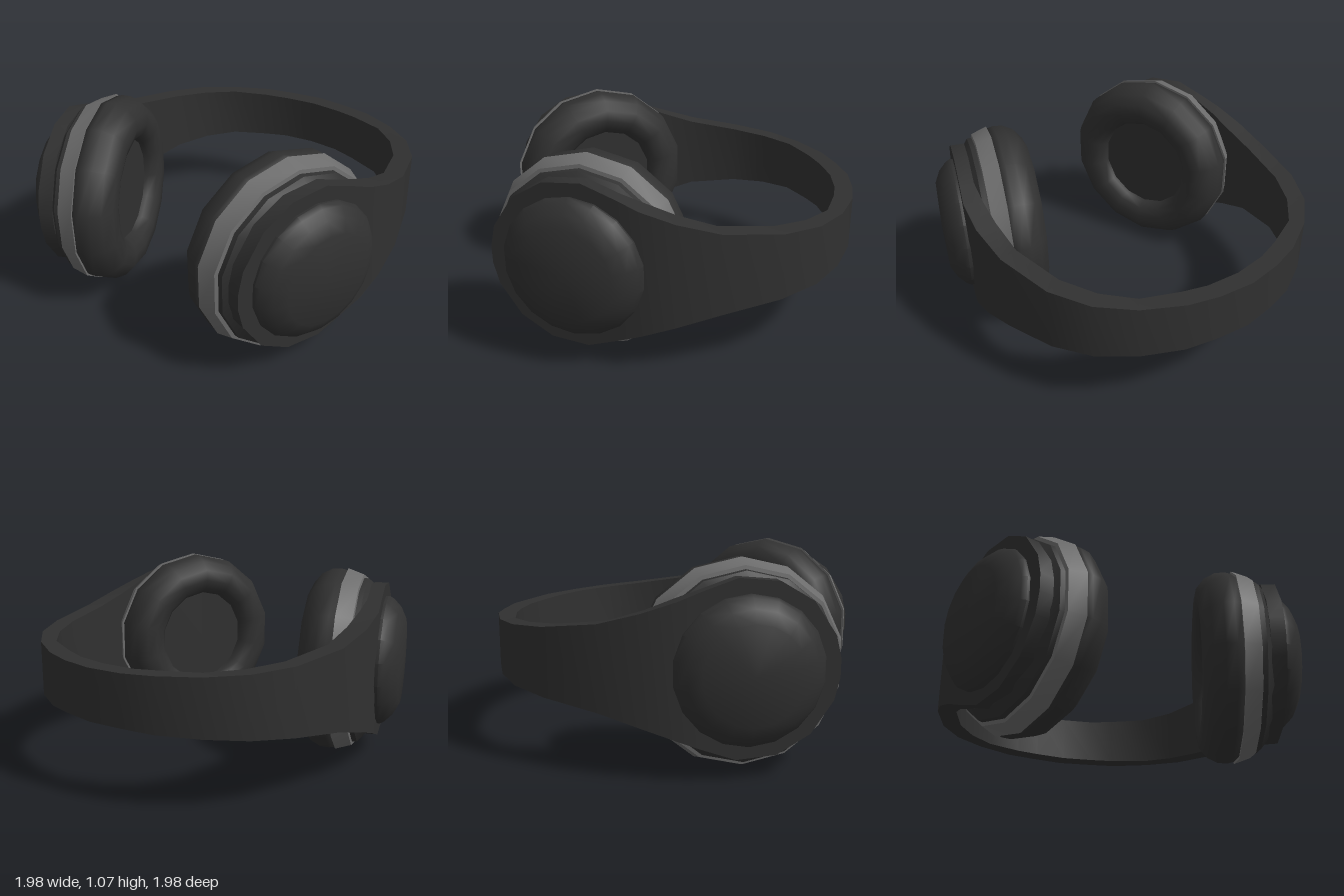
import * as THREE from 'three';
import { toCreasedNormals } from 'three/addons/utils/BufferGeometryUtils.js';

const black = new THREE.MeshStandardMaterial({ color: 0x303030 });
black.name = 'matte black';
const grey = new THREE.MeshStandardMaterial({ color: 0x6c6c6c });
grey.name = 'grey trim';

const TILT = 0.364; // how far each cup turns towards the front
const C = Math.cos(TILT), S = Math.sin(TILT);

// Turned part whose axis points along +x; profile is [radius, distance] pairs
function turned(name, profile, material, sides, crease) {
  const pts = profile.map(([r, d]) => new THREE.Vector2(r, d));
  let geo = new THREE.LatheGeometry(pts, sides, Math.PI / 2);
  geo.rotateZ(-Math.PI / 2);
  if (crease) geo = toCreasedNormals(geo, crease);
  const mesh = new THREE.Mesh(geo, material);
  mesh.name = name;
  return mesh;
}

// One ear cup, built from the inner face outwards
function earCup(side) {
  const cup = new THREE.Group();
  cup.name = side > 0 ? 'leftEarCup' : 'rightEarCup';
  cup.add(
    turned('speakerCover', [[0, 0.61], [0.31, 0.61]], black, 28),
    turned('cushion', [[0.29, 0.64], [0.295, 0.585], [0.325, 0.545], [0.38, 0.527], [0.445, 0.531],
      [0.5, 0.575], [0.53, 0.635], [0.533, 0.69], [0.522, 0.735], [0.45, 0.75]], black, 14),
    turned('trimRing', [[0.45, 0.722], [0.537, 0.725], [0.505, 0.815], [0.45, 0.825]], grey, 14, 0.6),
    turned('shell', [[0.488, 0.80], [0.482, 0.845], [0.43, 0.885], [0, 0.89]], black, 14, 0.6)
  );
  const cap = turned('outerCap', [[0.37, 0.92], [0.375, 0.96], [0.36, 0.985], [0.315, 1.028],
    [0.25, 1.06], [0, 1.068]], black, 18, 0.7);
  cap.position.y = 0.013;
  cup.add(cap);
  cup.position.set(-side * 0.247 * S, 0.54, 0.247 * C);
  cup.rotation.y = side > 0 ? -TILT : Math.PI + TILT;
  return cup;
}

// Headband: [outer x, outer z, inner x, inner z, half height] from the back middle to one tip
function headband() {
  const half = [
    [0, -0.995, 0, -0.89, 0.14],
    [0.2, -0.97, 0.19, -0.87, 0.14],
    [0.37, -0.925, 0.33, -0.83, 0.146],
    [0.58, -0.815, 0.53, -0.748, 0.152],
    [0.75, -0.665, 0.67, -0.605, 0.163],
    [0.867, -0.46, 0.77, -0.42, 0.18],
    [0.937, -0.15, 0.835, -0.13, 0.22],
    [0.945, 0.07, 0.835, 0.06, 0.28],
    [0.92, 0.24, 0.826, 0.2, 0.338],
  ];
  // Round end plate lying flat against the cup
  for (const deg of [-31, -8, 18, 43, 69, 84]) {
    const a = deg * Math.PI / 180;
    const t = 0.25 + 0.45 * Math.sin(a);
    const at = (s) => [C * s - S * t, S * s + C * t];
    half.push([...at(0.945), ...at(0.868), 0.45 * Math.cos(a)]);
  }
  const mirrored = half.slice(1).reverse().map(([ox, oz, ix, iz, h]) => [-ox, oz, -ix, iz, h]);
  const y = 0.555;
  const rings = [...mirrored, ...half].map(([ox, oz, ix, iz, h]) => [
    [ox, y - h, oz], [ox, y + h, oz], [ix, y + h, iz], [ix, y - h, iz],
  ]);
  const pos = [];
  const quad = (a, b, c, d) => pos.push(...a, ...b, ...c, ...a, ...c, ...d);
  for (let i = 0; i < rings.length - 1; i++) {
    const p = rings[i], q = rings[i + 1];
    for (let k = 0; k < 4; k++) {
      const n = (k + 1) % 4;
      quad(p[k], p[n], q[n], q[k]);
    }
  }
  const first = rings[0], last = rings[rings.length - 1];
  quad(first[3], first[2], first[1], first[0]);
  quad(last[0], last[1], last[2], last[3]);
  const geo = new THREE.BufferGeometry();
  geo.setAttribute('position', new THREE.Float32BufferAttribute(pos, 3));
  const mesh = new THREE.Mesh(toCreasedNormals(geo, 0.65), black);
  mesh.name = 'headband';
  return mesh;
}

export function createModel() {
  const model = new THREE.Group();
  model.name = 'headphones';
  model.add(headband(), earCup(1), earCup(-1));
  return model;
}
